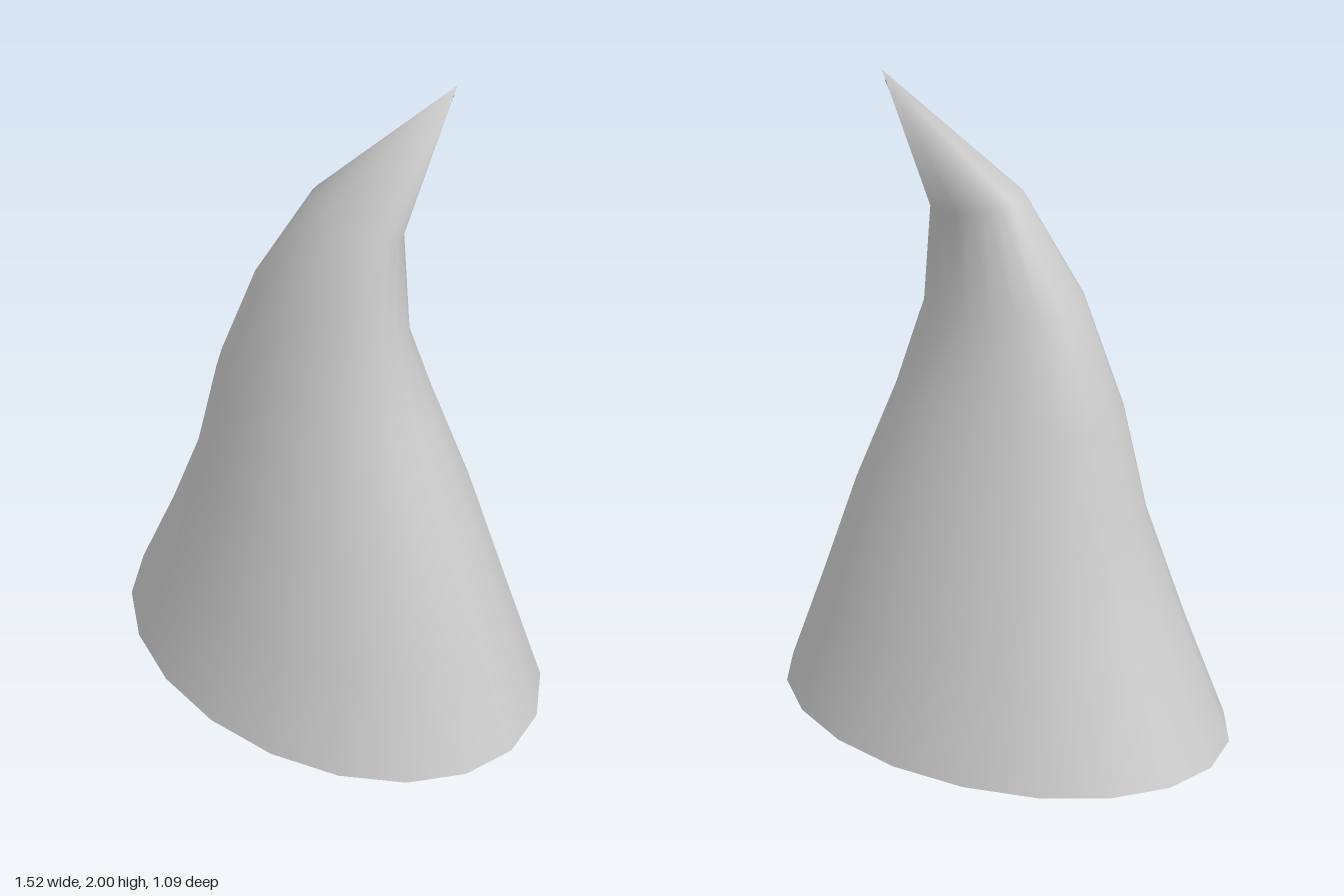
import * as THREE from 'three';

const SIDES = 20;
const WALL = 0.03;
const TIP = [0.225, 2, -0.26];

// Cross-sections from base upward: centre x, y, z, radius x, radius z, tilt, skew
const SECTIONS = [
  [0, 0, 0, 0.762, 0.546, 0, 0],
  [0.01, 0.33, 0, 0.622, 0.456, 0, 0],
  [0.014, 0.67, 0, 0.49, 0.363, 0, 0],
  [-0.022, 1, 0, 0.379, 0.272, 0, 0],
  [0, 1.304, 0.005, 0.267, 0.188, 0.024, 0.02],
  [0.052, 1.613, -0.052, 0.162, 0.117, 0.024, 0.09],
];

// One elliptical ring, raised toward -x and +z by its tilt;
// the skew stretches it along the x = z diagonal
function ring([cx, cy, cz, rx, rz, tilt, skew]) {
  return Array.from({ length: SIDES }, (_, i) => {
    const a = (i / SIDES) * Math.PI * 2;
    const c = Math.cos(a - skew), s = Math.sin(a + skew);
    return [cx + rx * c, cy + tilt * (s - c), cz + rz * s];
  });
}

// Skin between rings, optionally closed by a single shared apex
function loft(rings, apex, flip) {
  const points = rings.flat();
  const index = [];
  const tri = (a, b, c) => index.push(...(flip ? [a, c, b] : [a, b, c]));
  for (let r = 0; r < rings.length; r++) {
    for (let i = 0; i < SIDES; i++) {
      const p = r * SIDES + i;
      const q = r * SIDES + ((i + 1) % SIDES);
      if (r < rings.length - 1) {
        tri(p, p + SIDES, q);
        tri(q, p + SIDES, q + SIDES);
      } else if (apex) {
        tri(p, rings.length * SIDES, q);
      }
    }
  }
  if (apex) points.push(apex);
  const geometry = new THREE.BufferGeometry();
  geometry.setAttribute('position', new THREE.Float32BufferAttribute(points.flat(), 3));
  geometry.setIndex(index);
  geometry.computeVertexNormals();
  return geometry;
}

// Points of a skin moved inward along its normals, kept above the ground
function insetPoints(geometry) {
  const { position, normal } = geometry.attributes;
  return Array.from({ length: position.count }, (_, i) => {
    const point = new THREE.Vector3().fromBufferAttribute(position, i);
    point.addScaledVector(new THREE.Vector3().fromBufferAttribute(normal, i), -WALL);
    return [point.x, Math.max(0, point.y), point.z];
  });
}

export function createModel() {
  const group = new THREE.Group();
  group.name = 'bentHorn';
  const material = new THREE.MeshStandardMaterial({ color: 0xcccccc });
  const add = (name, geometry) => {
    const mesh = new THREE.Mesh(geometry, material);
    mesh.name = name;
    group.add(mesh);
  };

  // Outer skin
  const outer = SECTIONS.map(ring);
  const shell = loft(outer, TIP, false);
  add('outerShell', shell);

  // Hollow inside, an even wall thickness away
  const points = insetPoints(shell);
  const innerTip = points.pop();
  const inner = SECTIONS.map((_, r) => points.slice(r * SIDES, (r + 1) * SIDES));
  add('innerShell', loft(inner, innerTip, true));

  // Flat rim joining the two skins at the base
  add('bottomRim', loft([outer[0], inner[0]], null, true));
  return group;
}
